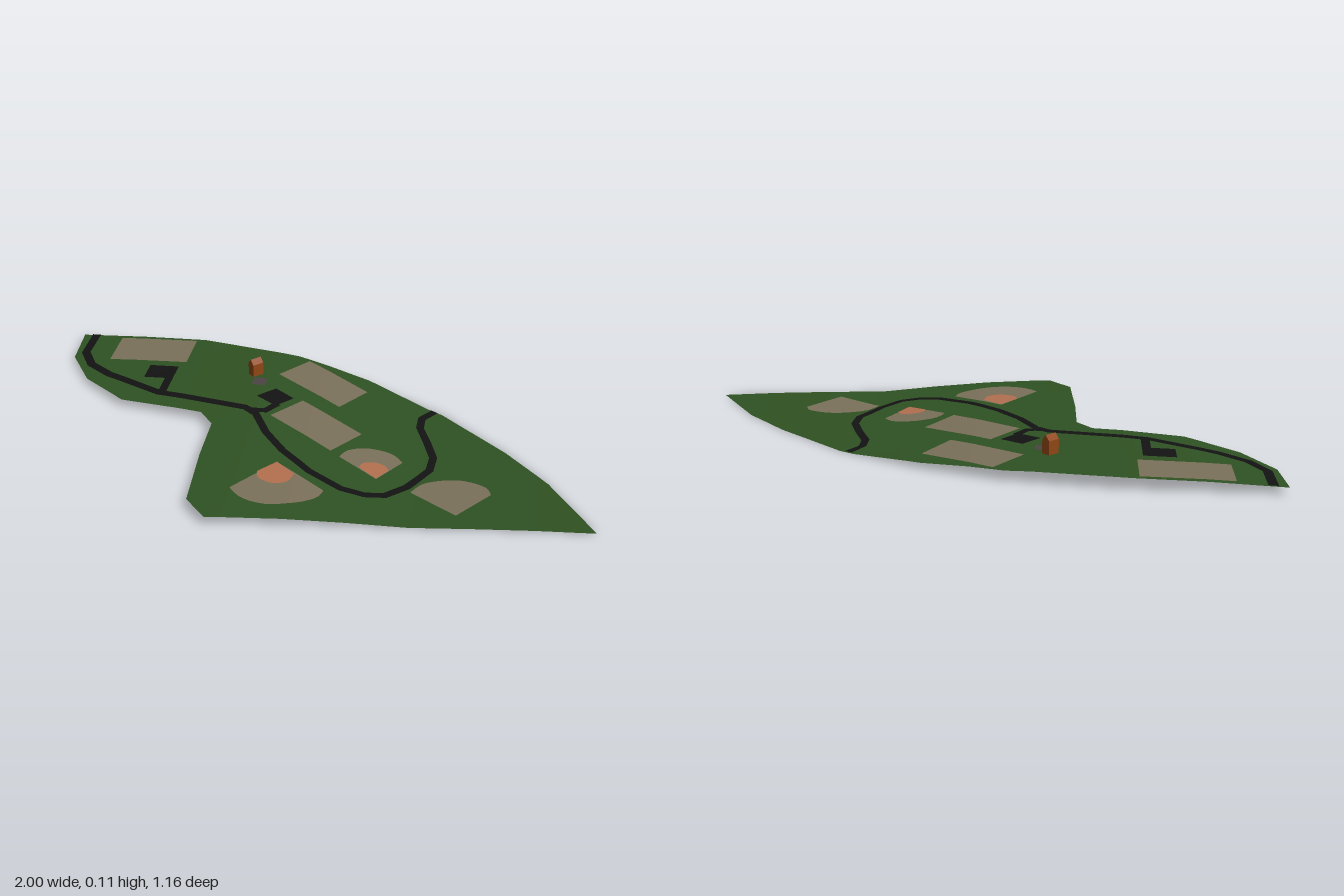
import * as THREE from 'three';
import { mergeVertices } from 'three/addons/utils/BufferGeometryUtils.js';

const GRASS = 0x2f5223, DIRT = 0x7b715b, CLAY = 0xb3704f, ASPHALT = 0x121312, WOOD = 0x8f4614, STONE = 0x4d4344;

// Terrain height: a gentle east-west profile, tilted a little along z
const PROFILE = [[-1, 0.015], [-0.75, 0.031], [-0.5, 0.041], [-0.2, 0.042], [0, 0.036],
  [0.2, 0.022], [0.4, 0.004], [0.6, 0.004], [0.8, 0.002], [1, -0.004]];
function height(x, z) {
  let i = 0;
  while (i < PROFILE.length - 2 && x > PROFILE[i + 1][0]) i++;
  const [x0, y0] = PROFILE[i], [x1, y1] = PROFILE[i + 1];
  return y0 + (y1 - y0) * (x - x0) / (x1 - x0) + 0.02 * x * z;
}

// Split every triangle into four
function subdivide(tris) {
  const mid = (a, b) => [(a[0] + b[0]) / 2, (a[1] + b[1]) / 2];
  return tris.flatMap(([a, b, c]) => {
    const ab = mid(a, b), bc = mid(b, c), ca = mid(c, a);
    return [[a, ab, ca], [ab, b, bc], [ca, bc, c], [ab, bc, ca]];
  });
}

// Lay a flat [x, z] outline over the terrain
function drape(name, outline, color, lift, levels = 3) {
  const flat = new THREE.ShapeGeometry(
    new THREE.Shape(outline.map(([x, z]) => new THREE.Vector2(x, -z)))).toNonIndexed();
  const p = flat.attributes.position;
  let tris = [];
  for (let i = 0; i < p.count; i += 3) {
    tris.push([0, 1, 2].map(k => [p.getX(i + k), -p.getY(i + k)]));
  }
  for (let l = 0; l < levels; l++) tris = subdivide(tris);
  const pos = tris.flat().flatMap(([x, z]) => [x, height(x, z) + lift, z]);
  let geo = new THREE.BufferGeometry();
  geo.setAttribute('position', new THREE.Float32BufferAttribute(pos, 3));
  geo = mergeVertices(geo, 1e-5);
  geo.computeVertexNormals();
  const mesh = new THREE.Mesh(geo, new THREE.MeshStandardMaterial({ color, side: THREE.DoubleSide }));
  mesh.name = name;
  return mesh;
}

// Outline of a road with mitred corners around a centre line
function ribbon(path, width) {
  const left = [], right = [];
  path.forEach(([x, z], i) => {
    const a = path[Math.max(i - 1, 0)], b = path[Math.min(i + 1, path.length - 1)];
    const d = new THREE.Vector2(b[0] - a[0], b[1] - a[1]).normalize().multiplyScalar(width / 2);
    left.push([x - d.y, z + d.x]);
    right.unshift([x + d.y, z - d.x]);
  });
  return [...left, ...right];
}

// Fan outline: a pointed corner closed by a smooth curve
function fan(apex, arc) {
  const curve = new THREE.SplineCurve(arc.map(([x, z]) => new THREE.Vector2(x, z)));
  return [apex, ...curve.getPoints(18).map(v => [v.x, v.y])];
}

export function createModel() {
  const group = new THREE.Group();
  group.name = 'sportsPark';
  const add = (...args) => group.add(drape(...args));

  // Grass sheet
  add('ground', [[-1, -0.58], [-0.51, -0.58], [-0.12, -0.52], [0.16, -0.41], [0.45, -0.24], [0.69, -0.02],
    [0.84, 0.15], [1, 0.41], [0.37, 0.49], [-0.24, 0.58], [-0.32, 0.49], [-0.34, 0.22], [-0.345, 0.02],
    [-0.4, -0.05], [-0.53, -0.07], [-0.71, -0.1], [-0.885, -0.24], [-0.985, -0.4]], GRASS, 0, 5);

  // Rectangular playing fields
  [[[-0.84, -0.56], [-0.54, -0.565], [-0.54, -0.395], [-0.84, -0.39]],
    [[-0.08, -0.49], [0.165, -0.32], [0.08, -0.185], [-0.175, -0.365]],
    [[-0.055, -0.195], [0.185, -0.025], [0.095, 0.11], [-0.15, -0.07]],
  ].forEach(f => add('playingField', f, DIRT, 0.002, 4));

  // Fan-shaped ball fields
  const north = [0.27, 0.24], south = [-0.07, 0.225];
  add('ballField', fan(north, [[0.13, 0.14], [0.15, 0.095], [0.2, 0.065], [0.255, 0.06], [0.31, 0.075], [0.345, 0.115]]), DIRT, 0.002);
  add('ballField', fan(south, [[-0.195, 0.405], [-0.145, 0.455], [-0.06, 0.475], [0.035, 0.445], [0.095, 0.4], [0.11, 0.355]]), DIRT, 0.002);
  add('ballField', fan([0.55, 0.395], [[0.39, 0.285], [0.435, 0.22], [0.54, 0.185], [0.63, 0.21], [0.655, 0.255]]), DIRT, 0.002);

  // Clay infields
  add('infield', fan(north, [[0.205, 0.19], [0.215, 0.16], [0.255, 0.145], [0.29, 0.155], [0.305, 0.18]]), CLAY, 0.004);
  add('infield', fan(south, [[-0.125, 0.295], [-0.11, 0.335], [-0.06, 0.355], [-0.015, 0.335], [0, 0.285]]), CLAY, 0.004);

  // Roads
  add('entranceRoad', ribbon([[-0.95, -0.58], [-0.95, -0.435], [-0.9, -0.345], [-0.81, -0.275],
    [-0.585, -0.16], [-0.25, -0.105], [-0.205, -0.07]], 0.033), ASPHALT, 0.003);
  add('loopRoad', ribbon([[-0.22, -0.09], [-0.205, -0.07], [-0.145, 0.045], [-0.065, 0.15], [0.045, 0.255],
    [0.165, 0.33], [0.245, 0.345], [0.31, 0.33], [0.375, 0.26], [0.44, 0.14], [0.445, 0.06],
    [0.415, -0.035], [0.38, -0.13], [0.38, -0.195], [0.42, -0.255]], 0.028), ASPHALT, 0.003);
  add('parkingDrive', ribbon([[-0.575, -0.27], [-0.575, -0.16]], 0.03), ASPHALT, 0.0034);
  add('parkingDrive', ribbon([[-0.14, -0.15], [-0.175, -0.095], [-0.24, -0.09]], 0.03), ASPHALT, 0.0034);

  // Parking lots
  add('parkingLot', [[-0.67, -0.355], [-0.56, -0.355], [-0.56, -0.265], [-0.67, -0.265]], ASPHALT, 0.0038);
  add('parkingLot', [[-0.165, -0.255], [-0.09, -0.2], [-0.145, -0.135], [-0.225, -0.19]], ASPHALT, 0.0038);

  // Paved pad beside the hut
  add('pavedPad', [[-0.26, -0.32], [-0.21, -0.32], [-0.21, -0.27], [-0.26, -0.27]], STONE, 0.004);

  // Gabled hut, ridge running diagonally
  const gable = new THREE.Shape([[-0.016, 0], [0.016, 0], [0.016, 0.048], [0, 0.066], [-0.016, 0.048]]
    .map(([x, y]) => new THREE.Vector2(x, y)));
  const hut = new THREE.Mesh(
    new THREE.ExtrudeGeometry(gable, { depth: 0.044, bevelEnabled: false }).translate(0, 0, -0.022),
    new THREE.MeshStandardMaterial({ color: WOOD }));
  hut.name = 'hut';
  hut.position.set(-0.26, height(-0.26, -0.35) + 0.003, -0.35);
  hut.rotation.y = THREE.MathUtils.degToRad(135);
  group.add(hut);

  return group;
}
